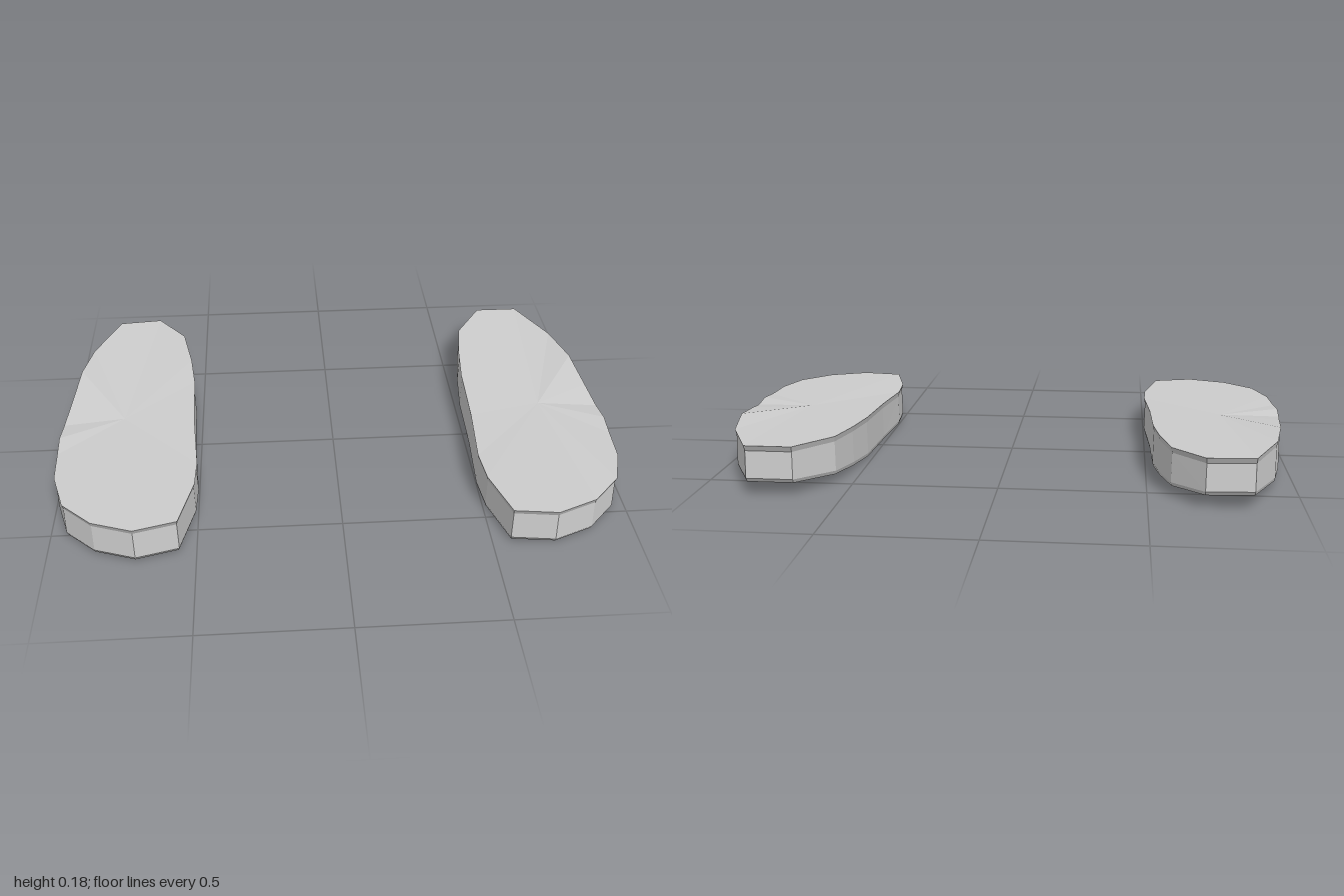
import * as THREE from 'three';

const rubber = new THREE.MeshStandardMaterial({ color: 0xcccccc, flatShading: true });
rubber.name = 'light grey';

// Outlines as [distance from the middle, z], from the heel along the outer edge to the toe and back
const leftOutline = [
  [0.66, -0.66], [0.82, -0.66], [0.92, -0.45], [0.96, -0.26], [0.98, -0.08], [0.995, 0.04], [1, 0.13],
  [0.997, 0.22], [0.99, 0.36], [0.95, 0.49], [0.85, 0.6], [0.71, 0.66], [0.56, 0.64], [0.505, 0.45],
  [0.495, 0.32], [0.51, 0.08], [0.515, -0.18], [0.53, -0.34], [0.555, -0.5],
];
const rightOutline = [
  [0.68, -0.66], [0.84, -0.645], [0.93, -0.43], [0.96, -0.27], [0.98, -0.08], [0.995, 0.04], [1, 0.13],
  [0.997, 0.22], [0.99, 0.36], [0.945, 0.51], [0.84, 0.61], [0.7, 0.66], [0.555, 0.62], [0.505, 0.42],
  [0.5, 0.3], [0.517, 0.05], [0.523, -0.2], [0.54, -0.35], [0.575, -0.53],
];

// Edge heights as [z, y]
const outerTop = [[-0.66, 0.172], [-0.45, 0.17], [-0.2, 0.18], [-0.05, 0.15], [0.03, 0.138], [0.13, 0.147], [0.22, 0.14], [0.66, 0.142]];
const innerTop = [[-0.66, 0.172], [-0.5, 0.167], [0, 0.148], [0.3, 0.137], [0.66, 0.142]];
const outerBottom = [[-0.66, 0.045], [-0.4, 0.028], [-0.2, 0.014], [0.04, 0.006], [0.15, 0.022], [0.3, 0.003], [0.66, 0.008]];
const innerBottom = [[-0.66, 0.045], [-0.2, 0.004], [0.1, 0], [0.4, 0.004], [0.66, 0.008]];

function heightAt(curve, z) {
  let i = 1;
  while (i < curve.length - 1 && curve[i][0] < z) i++;
  const [z0, y0] = curve[i - 1], [z1, y1] = curve[i];
  return THREE.MathUtils.mapLinear(z, z0, z1, y0, y1);
}

const CX = 0.775, CZ = 0.02;

function soleGeometry(outline, side) {
  // Four rings: top rim, wall under the lip, wall foot, ground edge
  const rings = [[1, 1, -0], [0.984, 1, -0.02], [0.992, 0, 0.014], [0.978, 0, 0]].map(([scale, isTop, dy]) =>
    outline.map(([x, z]) => {
      const outer = x > 0.74;
      const curve = isTop ? (outer ? outerTop : innerTop) : (outer ? outerBottom : innerBottom);
      return [side * (CX + (x - CX) * scale), heightAt(curve, z) + dy, CZ + (z - CZ) * scale];
    }));
  const positions = [];
  const tri = (a, b, c) => positions.push(...a, ...(side > 0 ? [...b, ...c] : [...c, ...b]));
  const topCentre = [side * CX, 0.146, CZ];
  const bottomCentre = [side * CX, 0.016, CZ];
  const n = outline.length;
  for (let i = 0; i < n; i++) {
    const j = (i + 1) % n;
    tri(topCentre, rings[0][j], rings[0][i]);
    for (let r = 0; r < 3; r++) {
      tri(rings[r][i], rings[r][j], rings[r + 1][j]);
      tri(rings[r][i], rings[r + 1][j], rings[r + 1][i]);
    }
    tri(bottomCentre, rings[3][i], rings[3][j]);
  }
  const geometry = new THREE.BufferGeometry();
  geometry.setAttribute('position', new THREE.Float32BufferAttribute(positions, 3));
  geometry.computeVertexNormals();
  return geometry;
}

export function createModel() {
  const group = new THREE.Group();
  group.name = 'pair of shoe soles';
  for (const [name, outline, side] of [['leftSole', leftOutline, 1], ['rightSole', rightOutline, -1]]) {
    const sole = new THREE.Mesh(soleGeometry(outline, side), rubber);
    sole.name = name;
    group.add(sole);
  }
  return group;
}
